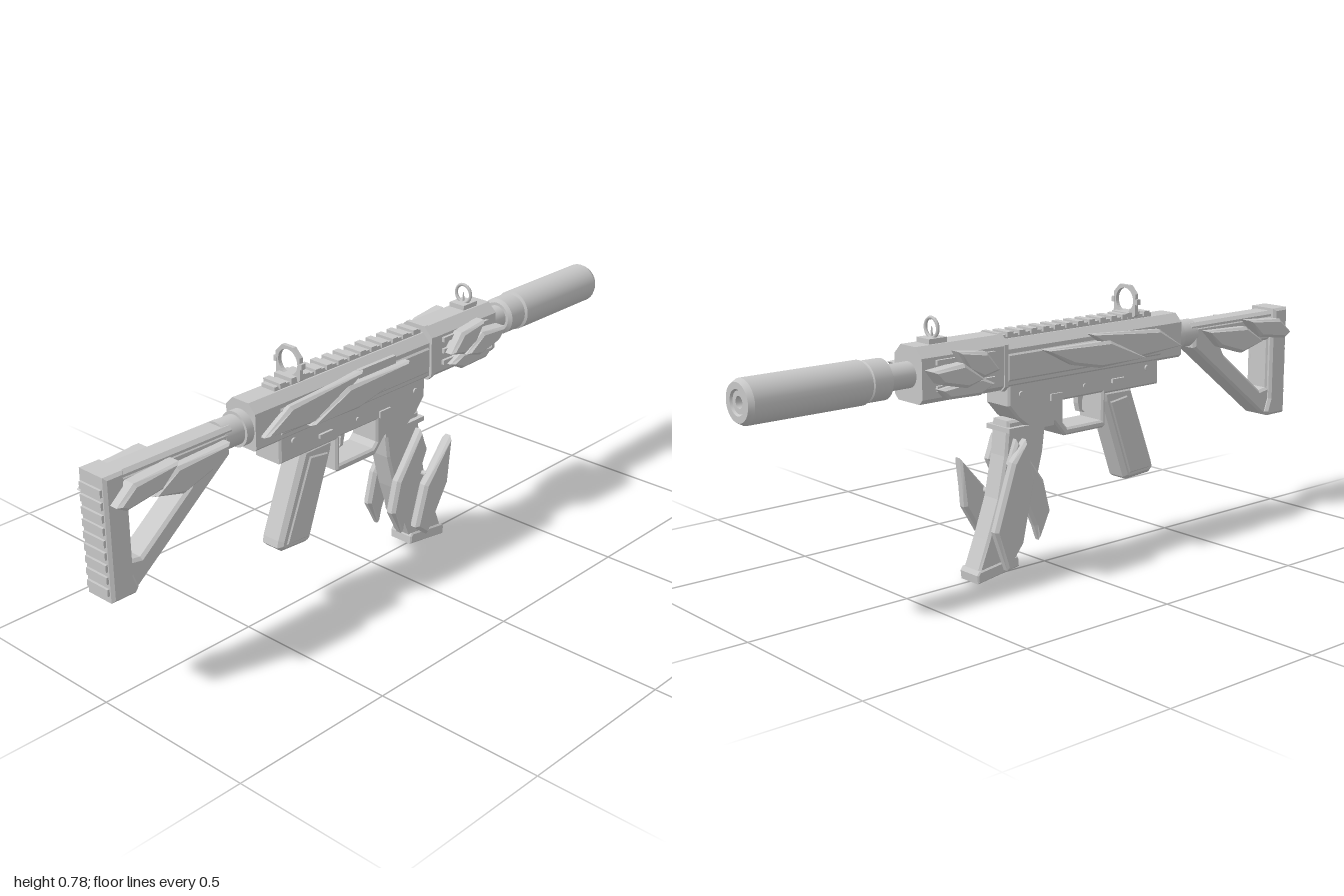
import * as THREE from 'three';

const grey = new THREE.MeshStandardMaterial({ color: 0xc8c8c8 });
grey.name = 'plain grey';

const toShape = pts => new THREE.Shape(pts.map(p => new THREE.Vector2(p[0], p[1])));

export function createModel() {
  const root = new THREE.Group();
  root.name = 'rifle';

  const add = (name, geo, x = 0, y = 0, z = 0) => {
    const m = new THREE.Mesh(geo, grey);
    m.name = name;
    m.position.set(x, y, z);
    root.add(m);
    return m;
  };
  const box = (name, w, h, d, x, y, z = 0) => add(name, new THREE.BoxGeometry(w, h, d), x, y, z);

  // side profile (x, y) extruded from z0 to z1 with chamfered edges
  const slab = (name, pts, z0, z1, bevel = 0, holes = []) => {
    const s = toShape(pts);
    holes.forEach(h => s.holes.push(toShape(h)));
    const geo = new THREE.ExtrudeGeometry(s, {
      depth: z1 - z0 - 2 * bevel, bevelEnabled: bevel > 0, bevelSegments: 1,
      bevelSize: bevel, bevelThickness: bevel, bevelOffset: -bevel, curveSegments: 10,
    });
    return add(name, geo, 0, 0, z0 + bevel);
  };
  // cross-section (z, y) extruded along x
  const beam = (name, pts, x0, x1, hole) => {
    const s = toShape(pts);
    if (hole) s.holes.push(hole);
    const geo = new THREE.ExtrudeGeometry(s, { depth: x1 - x0, bevelEnabled: false, curveSegments: 16 });
    geo.rotateY(Math.PI / 2);
    return add(name, geo, x0, 0, 0);
  };
  // solid turned around an axis parallel to x; points are [radius, x]
  const turned = (name, pts, y) => {
    for (let i = 0; i < pts.length - 1; i++) {
      const [a, b] = [pts[i], pts[i + 1]];
      const geo = new THREE.LatheGeometry([new THREE.Vector2(a[0], a[1]), new THREE.Vector2(b[0], b[1])], 28);
      geo.rotateZ(-Math.PI / 2);
      add(name, geo, 0, y, 0);
    }
  };
  const pin = (name, x, y, r, halfWidth) => {
    const geo = new THREE.CylinderGeometry(r, r, halfWidth * 2, 12);
    geo.rotateX(Math.PI / 2);
    add(name, geo, x, y, 0);
  };
  const octagon = (w, y0, y1, c, cb = c) => [
    [-w + cb, y0], [w - cb, y0], [w, y0 + cb], [w, y1 - c], [w - c, y1], [-w + c, y1], [-w, y1 - c], [-w, y0 + cb]];

  // stock: skeleton frame, upper tube, butt and ribbed pad
  slab('stockFrame', [[-0.985, 0.63], [-0.985, 0.31], [-0.9, 0.31], [-0.575, 0.565], [-0.575, 0.63]],
    -0.04, 0.04, 0.008, [[[-0.915, 0.55], [-0.7, 0.55], [-0.715, 0.525], [-0.885, 0.39], [-0.915, 0.395]]]);
  beam('stockTube', octagon(0.037, 0.59, 0.642, 0.01), -0.95, -0.565);
  slab('buttPlate', [[-0.992, 0.305], [-0.915, 0.305], [-0.905, 0.318], [-0.92, 0.36], [-0.92, 0.59],
    [-0.93, 0.6], [-0.93, 0.65], [-0.992, 0.65]], -0.052, 0.052, 0.008);
  for (let i = 0; i < 9; i++) box('padRib', 0.014, 0.02, 0.08, -0.992, 0.335 + i * 0.034);
  turned('bufferTube', [[0, -0.59], [0.042, -0.59], [0.042, -0.49]], 0.608);
  turned('bufferRing', [[0.042, -0.525], [0.05, -0.525], [0.05, -0.495]], 0.608);

  // upper receiver
  beam('upperReceiver', octagon(0.055, 0.55, 0.682, 0.025, 0.008), -0.5, 0.19);
  beam('receiverSpine', octagon(0.06, 0.565, 0.655, 0.015, 0.008), -0.41, 0.18);
  box('railBase', 0.58, 0.016, 0.05, -0.11, 0.685);
  for (let i = 0; i < 13; i++) box('railTooth', 0.022, 0.014, 0.064, -0.375 + i * 0.044, 0.694);
  box('ejectionCover', 0.15, 0.05, 0.012, -0.045, 0.643, 0.06);
  box('coverHinge', 0.15, 0.01, 0.02, -0.045, 0.617, 0.06);

  // lower receiver with magazine well and trigger guard
  slab('lowerReceiver', [[-0.41, 0.565], [-0.41, 0.48], [-0.195, 0.48], [-0.195, 0.385], [-0.185, 0.38],
    [-0.035, 0.38], [0.005, 0.425], [0.1, 0.425], [0.14, 0.455], [0.175, 0.495], [0.175, 0.565]],
  -0.05, 0.05, 0.006, [[[-0.18, 0.485], [-0.03, 0.485], [-0.03, 0.418], [-0.045, 0.402], [-0.18, 0.402]]]);
  slab('trigger', [[-0.15, 0.495], [-0.118, 0.495], [-0.122, 0.455], [-0.128, 0.43], [-0.148, 0.425],
    [-0.138, 0.435], [-0.136, 0.46]], -0.01, 0.01);
  pin('frontPin', 0.13, 0.525, 0.009, 0.055);
  pin('triggerPin', -0.11, 0.515, 0.007, 0.054);
  pin('rearPin', -0.36, 0.535, 0.009, 0.055);
  box('selectorLever', 0.05, 0.012, 0.116, -0.24, 0.515);
  box('magazineRelease', 0.045, 0.02, 0.112, 0.0, 0.5);

  // pistol grip with raised side panels
  slab('grip', [[-0.31, 0.485], [-0.195, 0.485], [-0.2, 0.45], [-0.288, 0.208], [-0.3, 0.2], [-0.395, 0.206],
    [-0.41, 0.22], [-0.405, 0.24]], -0.04, 0.04, 0.012);
  slab('gripPanel', [[-0.29, 0.46], [-0.22, 0.45], [-0.303, 0.22], [-0.385, 0.225]], -0.044, 0.044, 0.004);

  // magazine
  slab('magazine', [[0.02, 0.45], [0.165, 0.45], [0.175, 0.35], [0.2, 0.23], [0.24, 0.12], [0.278, 0.022],
    [0.138, 0.04], [0.1, 0.13], [0.065, 0.23], [0.035, 0.34]], -0.036, 0.036, 0.007);
  slab('magazineBase', [[0.13, 0.022], [0.28, 0], [0.283, 0.025], [0.275, 0.036], [0.138, 0.055], [0.132, 0.045]],
    -0.041, 0.041, 0.004);
  box('magazineCollar', 0.165, 0.014, 0.1, 0.09, 0.425);
  pin('magazinePin', 0.185, 0.24, 0.008, 0.052);

  // handguard with side slots
  beam('handguard', octagon(0.06, 0.545, 0.698, 0.028, 0.014), 0.19, 0.48);
  beam('handguardRearBand', octagon(0.063, 0.541, 0.702, 0.029, 0.015), 0.186, 0.2);
  for (const s of [-1, 1]) {
    for (const y of [0.585, 0.62, 0.655]) box('handguardBar', 0.2, 0.014, 0.014, 0.335, y, s * 0.062);
  }

  // barrel and muzzle tube
  turned('barrel', [[0.036, 0.47], [0.036, 0.57]], 0.62);
  turned('muzzleTube', [[0, 0.56], [0.045, 0.56], [0.056, 0.568], [0.056, 0.625], [0.052, 0.628], [0.052, 0.634],
    [0.06, 0.638], [0.06, 0.985], [0.052, 1], [0.034, 1], [0.03, 0.994], [0.016, 0.994], [0.016, 0.95], [0, 0.95]], 0.62);

  // rear sight: round aperture in an eight-sided frame
  const ringHole = (y, r) => new THREE.Path().absarc(0, y, r, 0, Math.PI * 2, true);
  beam('rearSight', octagon(0.045, 0.69, 0.782, 0.024, 0.006), -0.326, -0.314, ringHole(0.737, 0.036));
  box('rearSightBase', 0.05, 0.018, 0.066, -0.32, 0.695);
  box('rearSightKnob', 0.012, 0.014, 0.102, -0.32, 0.735);
  root.children[root.children.length - 1].removeFromParent();
  for (const s of [-1, 1]) box('rearSightKnob', 0.014, 0.016, 0.01, -0.32, 0.735, s * 0.048);

  // front sight: ring and post
  const ring = new THREE.TorusGeometry(0.027, 0.005, 6, 24);
  ring.rotateY(Math.PI / 2);
  add('frontSightRing', ring, 0.4, 0.737, 0);
  box('frontSightBase', 0.06, 0.016, 0.054, 0.4, 0.704);
  add('frontSightPost', new THREE.CylinderGeometry(0.0015, 0.004, 0.03, 8), 0.4, 0.725, 0);

  // angular armour shards, mirrored to both sides
  const shards = {
    stockShard: [
      [[[-0.98, 0.575], [-0.925, 0.622], [-0.78, 0.632], [-0.835, 0.575], [-0.95, 0.558]], 0.035, 0.085],
      [[[-0.86, 0.558], [-0.78, 0.612], [-0.6, 0.618], [-0.66, 0.563], [-0.76, 0.532]], 0.035, 0.075],
    ],
    receiverShard: [
      [[[-0.485, 0.59], [-0.39, 0.65], [-0.11, 0.668], [-0.205, 0.607], [-0.3, 0.575]], 0.05, 0.08],
      [[[-0.325, 0.575], [-0.18, 0.643], [0.07, 0.645], [-0.035, 0.59], [-0.14, 0.568]], 0.055, 0.09],
    ],
    handguardShard: [
      [[[0.24, 0.615], [0.285, 0.67], [0.385, 0.682], [0.35, 0.625], [0.3, 0.6]], 0.055, 0.1],
      [[[0.3, 0.6], [0.37, 0.65], [0.475, 0.64], [0.445, 0.602], [0.36, 0.582]], 0.055, 0.108],
      [[[0.25, 0.578], [0.3, 0.602], [0.44, 0.585], [0.41, 0.555], [0.3, 0.552]], 0.052, 0.09],
    ],
  };
  const shard = (name, pts, z0, z1, side) =>
    side > 0 ? slab(name, pts, z0, z1, 0.009) : slab(name, pts, -z1, -z0, 0.009);
  for (const [name, list] of Object.entries(shards)) {
    for (const side of [1, -1]) for (const [pts, z0, z1] of list) shard(name, pts, z0, z1, side);
  }

  // long magazine shards
  const rearBlade = [[0.15, 0.4], [0.178, 0.33], [0.085, 0.135], [0.068, 0.09], [0.025, 0.17], [0.05, 0.265]];
  const frontBlade = [[0.268, 0.345], [0.255, 0.2], [0.165, 0.055], [0.115, 0.095], [0.155, 0.22]];
  const backBlade = [[0.13, 0.4], [0.18, 0.34], [0.245, 0.15], [0.2, 0.03], [0.14, 0.1], [0.1, 0.28]];
  shard('magazineRearShard', rearBlade, 0.03, 0.065, 1);
  shard('magazineFrontShard', frontBlade, 0.045, 0.08, 1);
  shard('magazineRearShard', rearBlade, 0.03, 0.06, -1);
  shard('magazineFrontShard', backBlade, 0.044, 0.078, -1);

  return root;
}
